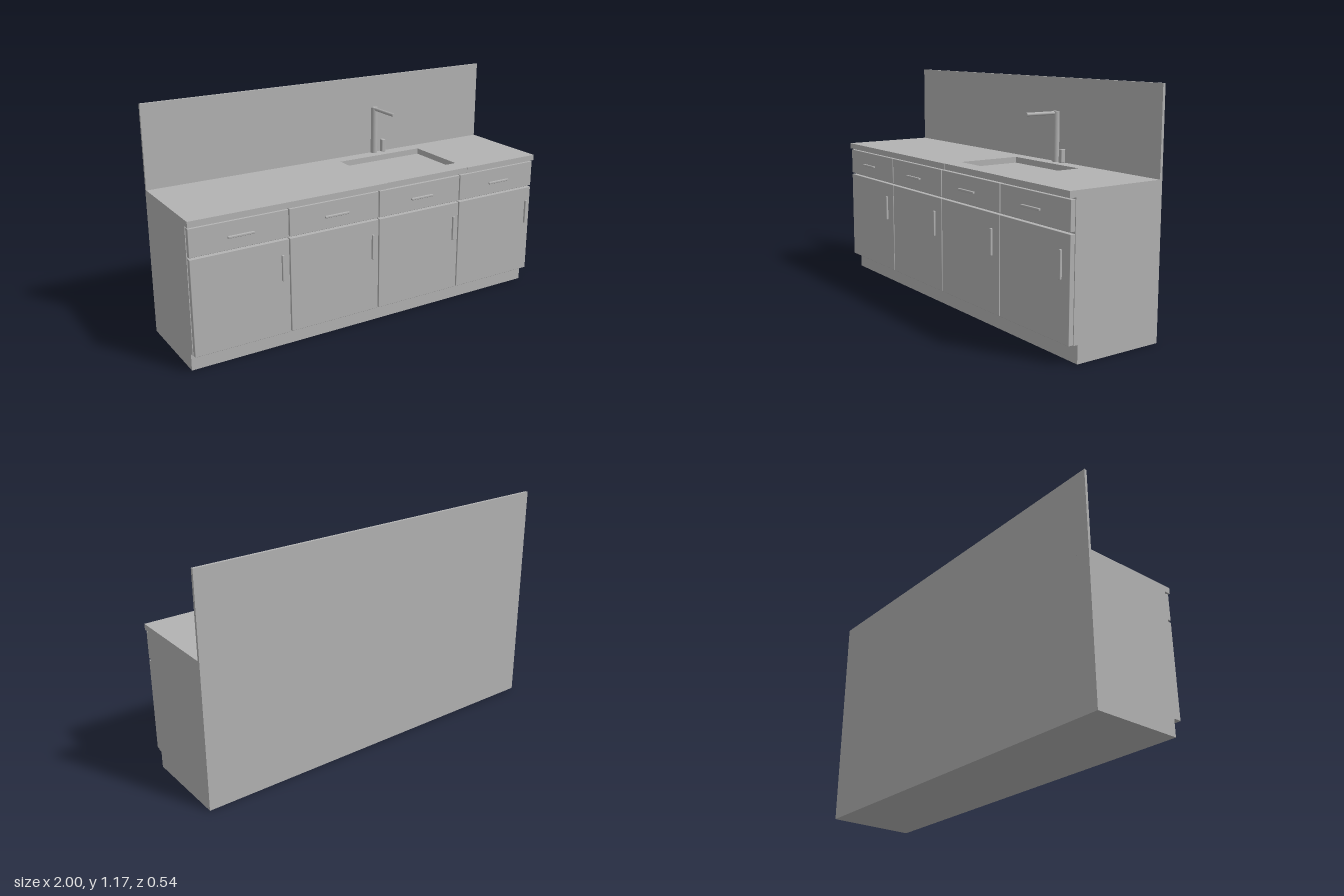
import * as THREE from 'three';
import { RoundedBoxGeometry } from 'three/addons/geometries/RoundedBoxGeometry.js';

export function createModel() {
  const model = new THREE.Group();
  model.name = 'kitchenCounter';
  const grey = new THREE.MeshStandardMaterial({ color: 0xb2b2b2 });
  grey.name = 'plain grey';

  function add(name, geometry, x = 0, y = 0, z = 0) {
    const mesh = new THREE.Mesh(geometry, grey);
    mesh.name = name;
    mesh.position.set(x, y, z);
    model.add(mesh);
    return mesh;
  }

  // Box from its limits on each axis, optionally with rounded edges
  function block(name, [x0, x1], [y0, y1], [z0, z1], radius = 0) {
    const size = [x1 - x0, y1 - y0, z1 - z0];
    const geometry = radius
      ? new RoundedBoxGeometry(...size, 2, radius)
      : new THREE.BoxGeometry(...size);
    return add(name, geometry, (x0 + x1) / 2, (y0 + y1) / 2, (z0 + z1) / 2);
  }

  // Cabinet body with a recessed toe kick, extruded from its side profile
  const profile = new THREE.Shape([
    [-0.27, 0], [0.2, 0], [0.2, 0.086], [0.222, 0.086], [0.222, 0.72], [-0.27, 0.72],
  ].map(([z, y]) => new THREE.Vector2(-z, y)));
  const body = new THREE.ExtrudeGeometry(profile, { depth: 2, bevelEnabled: false });
  body.rotateY(Math.PI / 2);
  add('cabinetBody', body, -1);

  // Worktops on either side of the sink, and the sink rims between them
  const top = [0.72, 0.75];
  block('leftWorktop', [0.54, 1], top, [-0.27, 0.255]);
  block('rightWorktop', [-1, 0.04], top, [-0.27, 0.255]);
  block('sinkFrontRim', [0.04, 0.54], top, [0.155, 0.252]);
  block('sinkBackRim', [0.04, 0.54], top, [-0.27, -0.185]);

  // Backsplash
  block('backsplash', [-1, 1], [0.75, 1.17], [-0.27, -0.256]);

  // Four cabinet units: drawer over door, each with a bar handle
  for (let i = 0; i < 4; i++) {
    const x = -1 + i * 0.5;
    const front = [x + 0.003, x + 0.497];
    block('drawerFront', front, [0.576, 0.713], [0.222, 0.247], 0.002);
    block('doorFront', front, [0.087, 0.567], [0.222, 0.247], 0.002);
    block('drawerHandle', [x + 0.183, x + 0.315], [0.638, 0.649], [0.258, 0.27], 0.003);
    block('doorHandle', [x + 0.449, x + 0.461], [0.37, 0.5], [0.258, 0.27], 0.003);
  }

  // Tap: round post, spout reaching over the sink, and a lever beside it
  add('tapPost', new THREE.CylinderGeometry(0.018, 0.018, 0.253, 24), 0.291, 0.8765, -0.247);
  const spout = new THREE.CylinderGeometry(0.009, 0.009, 0.185, 16);
  spout.rotateX(Math.PI / 2);
  add('tapSpout', spout, 0.291, 0.994, -0.1525);
  block('tapLever', [0.334, 0.356], [0.75, 0.818], [-0.256, -0.23], 0.003);

  return model;
}
